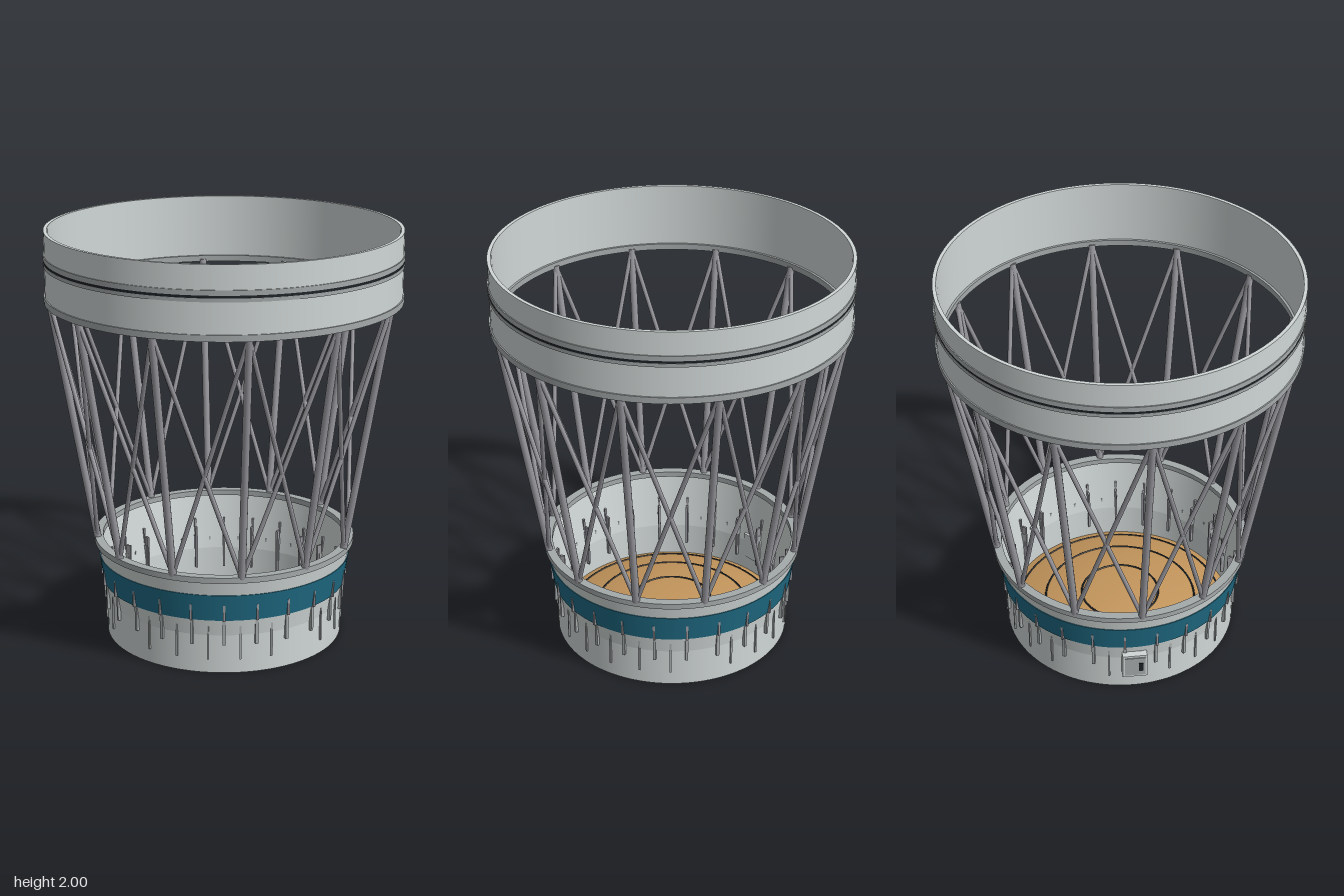
import * as THREE from 'three';

const mat = (name, color, side = THREE.FrontSide) => {
  const m = new THREE.MeshStandardMaterial({ color, side });
  m.name = name;
  return m;
};

export function createModel() {
  const group = new THREE.Group();
  const paleGrey = mat('pale grey', 0xd0d7d6);
  const flangeGrey = mat('flange grey', 0xa4a9aa);
  const trussGrey = mat('truss grey', 0x97979d);
  const teal = mat('teal', 0x1f6a83);
  const tan = mat('tan', 0xc4965c, THREE.DoubleSide);
  const black = mat('black', 0x1d2226);

  const add = (name, geometry, material, parent = group) => {
    const mesh = new THREE.Mesh(geometry, material);
    mesh.name = name;
    parent.add(mesh);
    return mesh;
  };

  // Closed ring with hard edges: each side of the section is its own smooth lathe
  const ring = (name, section, material) => {
    const part = new THREE.Group();
    part.name = name;
    section.forEach((p, i) => {
      const q = section[(i + 1) % section.length];
      const pts = [new THREE.Vector2(...p), new THREE.Vector2(...q)];
      add(name + 'Face', new THREE.LatheGeometry(pts, 96), material, part);
    });
    group.add(part);
  };
  const band = (name, r0, r1, y0, y1, material) =>
    ring(name, [[r0, y0], [r1, y0], [r1, y1], [r0, y1]], material);

  // Upper shell with its flanges and separation seam
  band('upperShell', 0.822, 0.839, 1.67, 2.0, paleGrey);
  band('upperLowerFlange', 0.81, 0.845, 1.665, 1.695, flangeGrey);
  band('seamLowerFlange', 0.83, 0.844, 1.838, 1.855, flangeGrey);
  band('seamUpperFlange', 0.83, 0.844, 1.867, 1.89, flangeGrey);
  band('seam', 0.83, 0.8425, 1.855, 1.867, black);

  // Lower shell: straight skirt flaring into a cone, hollow inside
  ring('lowerShell', [[0.562, 0], [0.575, 0], [0.576, 0.19], [0.617, 0.475],
    [0.604, 0.475], [0.563, 0.19]], paleGrey);
  band('lowerUpperFlange', 0.59, 0.632, 0.47, 0.498, flangeGrey);

  // Painted band hugging the cone
  const coneR = y => 0.576 + (y - 0.19) * 0.144;
  ring('tealBand', [[coneR(0.27), 0.27], [coneR(0.27) + 0.004, 0.27],
    [coneR(0.402) + 0.004, 0.402], [coneR(0.402), 0.402]], teal);

  // Truss: twelve posts and crossed diagonals between neighbours
  const node = (i, r, y) => {
    const a = i * Math.PI / 6;
    return new THREE.Vector3(Math.sin(a) * r, y, Math.cos(a) * r);
  };
  const rod = (name, a, b, r) => {
    const dir = b.clone().sub(a);
    const mesh = add(name, new THREE.CylinderGeometry(r, r, dir.length(), 12), trussGrey);
    mesh.position.copy(a).add(b).multiplyScalar(0.5);
    mesh.quaternion.setFromUnitVectors(new THREE.Vector3(0, 1, 0), dir.normalize());
  };
  for (let i = 0; i < 12; i++) {
    const low = node(i, 0.617, 0.49);
    const high = node(i, 0.818, 1.675);
    rod('trussPost', low, high, 0.018);
    rod('trussDiagonal', low, node(i + 1, 0.818, 1.675), 0.011);
    rod('trussDiagonal', high, node(i + 1, 0.617, 0.49), 0.011);
  }

  // Boxes set radially around the skirt
  const radialBox = (name, deg, r, y, size, material, shift = 0) => {
    const pivot = new THREE.Group();
    pivot.name = name;
    pivot.rotation.y = THREE.MathUtils.degToRad(deg);
    const mesh = add(name, new THREE.BoxGeometry(...size), material, pivot);
    mesh.position.set(shift, y, r);
    group.add(pivot);
    return mesh;
  };
  for (let i = 0; i < 24; i++) {
    const deg = 7.5 + i * 15;
    radialBox('upperFin', deg, 0.589, 0.31, [0.01, 0.08, 0.03], trussGrey);
    radialBox('lowerFin', deg, 0.573, 0.205, [0.014, 0.12, 0.034], flangeGrey);
    radialBox('innerRib', deg, 0.557, 0.2, [0.01, 0.22, 0.024], trussGrey);
    if (i % 6) radialBox('stringer', i * 15, 0.576, 0.16, [0.009, 0.18, 0.014], flangeGrey);
  }

  // Umbilical box with a dark slot on its face
  radialBox('umbilicalBox', -63, 0.585, 0.165, [0.12, 0.135, 0.06], paleGrey);
  radialBox('umbilicalPlate', -63, 0.616, 0.165, [0.1, 0.11, 0.006], flangeGrey);
  radialBox('umbilicalSlot', -63, 0.619, 0.162, [0.022, 0.05, 0.006], black, 0.03);

  // Shallow domed floor with dark seams
  const domeY = r => 0.02 + 0.095 * (1 - (r / 0.563) ** 2);
  const dome = [];
  for (let i = 0; i <= 16; i++) {
    const r = 0.563 * (1 - i / 16);
    dome.push(new THREE.Vector2(r, domeY(r)));
  }
  add('dome', new THREE.LatheGeometry(dome, 96), tan);
  for (const r of [0.195, 0.38, 0.52]) {
    const seam = add('domeSeam', new THREE.TorusGeometry(r, 0.005, 8, 96), black);
    seam.rotation.x = Math.PI / 2;
    seam.position.y = domeY(r);
  }
  return group;
}
